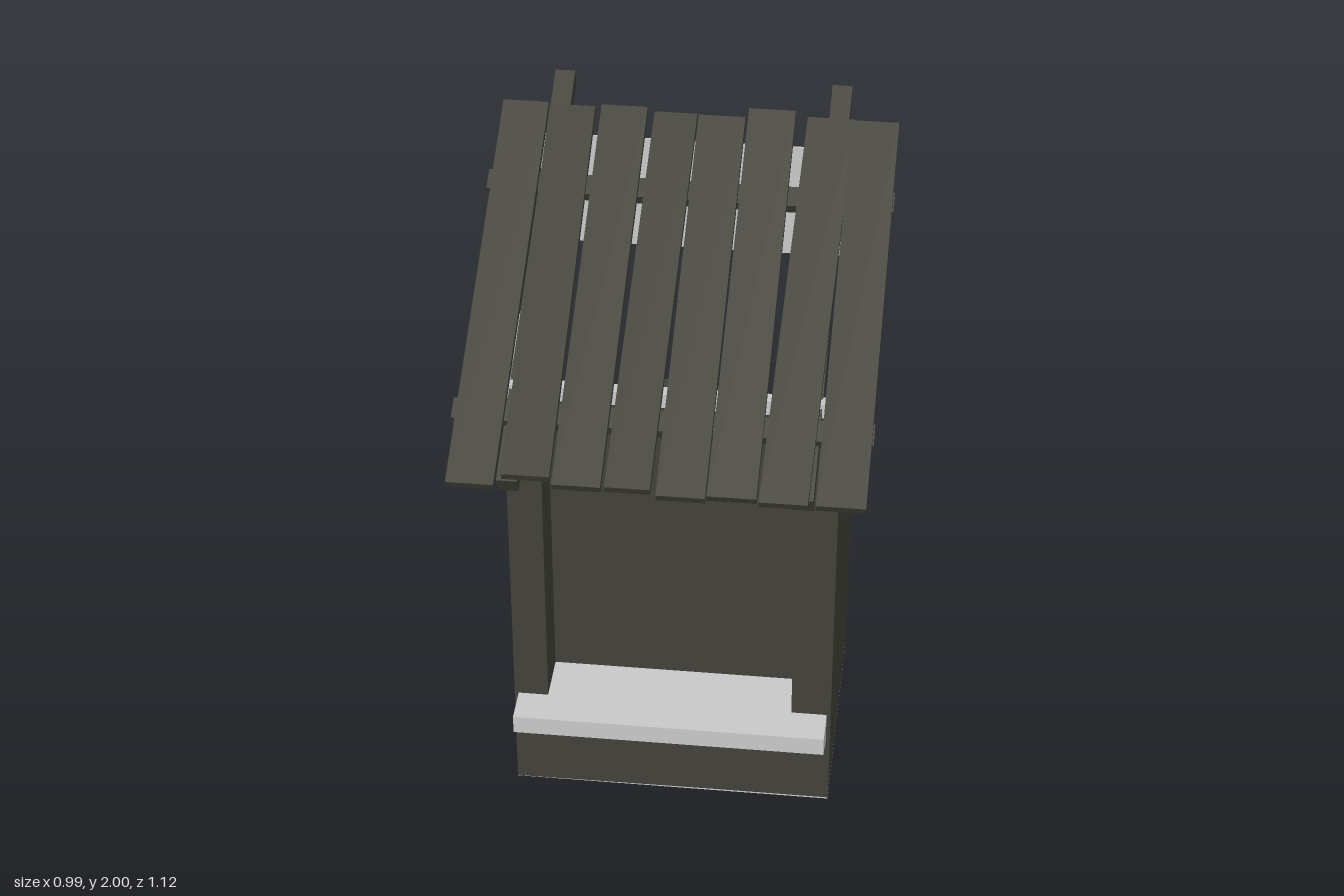
import * as THREE from 'three';

const wood = new THREE.MeshStandardMaterial({ color: 0x43423a, side: THREE.DoubleSide });
wood.name = 'dark wood';
const pale = new THREE.MeshStandardMaterial({ color: 0xcccccc, side: THREE.DoubleSide });
pale.name = 'pale stone';

const L = -0.39, R = 0.41, FRONT = 0.26, BACK = -0.4, FLOOR = 0.38, TOP = 1.59;
const NICHE_X = 0.003, NICHE_W = 0.308, NICHE_Z = 0.12, SPRING = 1.335;

export function createModel() {
  const model = new THREE.Group();
  model.name = 'hanging booth';

  const add = (name, geometry, material) => {
    const mesh = new THREE.Mesh(geometry, material);
    mesh.name = name;
    model.add(mesh);
    return mesh;
  };
  const box = (name, material, x0, x1, y0, y1, z0, z1) =>
    add(name, new THREE.BoxGeometry(x1 - x0, y1 - y0, z1 - z0), material)
      .position.set((x0 + x1) / 2, (y0 + y1) / 2, (z0 + z1) / 2);

  // Straight timber between two [z, y] points; skew shifts its far end sideways
  const beam = (name, x, a, b, width, thick, skew = 0) => {
    const dz = b[0] - a[0], dy = b[1] - a[1], len = Math.hypot(dz, dy);
    const g = new THREE.BoxGeometry(width, thick, len);
    const p = g.attributes.position;
    for (let i = 0; i < p.count; i++) p.setX(i, p.getX(i) + skew * p.getZ(i) / len);
    const mesh = add(name, g, wood);
    mesh.position.set(x, (a[1] + b[1]) / 2, (a[0] + b[0]) / 2);
    mesh.rotation.x = -Math.atan2(dy, dz);
  };

  // Arched outline of the niche, optionally grown outward
  const archPoints = (grow, bottom, rise = 0.215) => {
    const w = NICHE_W + grow, pts = [new THREE.Vector2(NICHE_X - w, bottom), new THREE.Vector2(NICHE_X + w, bottom)];
    for (let i = 0; i <= 16; i++) {
      const t = Math.PI * i / 16;
      pts.push(new THREE.Vector2(NICHE_X + w * Math.cos(t), SPRING + (rise + grow) * Math.sin(t)));
    }
    return pts;
  };

  // Front wall with arched opening
  const front = new THREE.Shape([[L, FLOOR], [R, FLOOR], [R, TOP], [L, TOP]].map(p => new THREE.Vector2(...p)));
  front.holes.push(new THREE.Path(archPoints(0, 0.57)));
  add('frontWall', new THREE.ShapeGeometry(front), wood).position.z = FRONT;

  // Niche: sides, flat back panel and arch panel
  const rim = new THREE.Shape(archPoints(0.006, 0.565));
  rim.holes.push(new THREE.Path(archPoints(0, 0.57)));
  add('nicheSides', new THREE.ExtrudeGeometry(rim, { depth: FRONT - NICHE_Z - 0.002, bevelEnabled: false }), wood)
    .position.z = NICHE_Z;
  box('nichePanel', wood, NICHE_X - NICHE_W, NICHE_X + NICHE_W, 0.6, SPRING, NICHE_Z, NICHE_Z + 0.008);
  add('nicheArch', new THREE.ShapeGeometry(new THREE.Shape(archPoints(0, SPRING))), wood).position.z = NICHE_Z + 0.004;

  // Sill: inner slab and a front ledge with a sloping underside
  box('innerSill', pale, NICHE_X - NICHE_W, NICHE_X + NICHE_W, 0.572, 0.659, NICHE_Z - 0.006, FRONT);
  const ledge = new THREE.Shape([[FRONT, 0.57], [0.355, 0.61], [0.355, 0.66], [FRONT, 0.66]]
    .map(([z, y]) => new THREE.Vector2(-z, y)));
  const ledgeGeo = new THREE.ExtrudeGeometry(ledge, { depth: 0.78, bevelEnabled: false });
  ledgeGeo.rotateY(Math.PI / 2);
  add('frontLedge', ledgeGeo, pale).position.x = -0.38;

  // Side walls with sloping gables, and the band along each side
  for (const [side, x] of [['right', L], ['left', R]]) {
    const wall = new THREE.Shape([[FRONT, FLOOR], [FRONT, 1.61], [0.22, 1.62], [BACK, 1.905], [BACK, FLOOR]]
      .map(([z, y]) => new THREE.Vector2(-z, y)));
    const g = new THREE.ShapeGeometry(wall);
    g.rotateY(Math.PI / 2);
    add(side + 'Wall', g, wood).position.x = x;
    box(side + 'Band', pale, x - 0.014, x + 0.014, 1.587, 1.625, BACK, 0.287);
  }
  box('frontBand', pale, L, R, 1.587, 1.625, 0.255, 0.287);

  // Floor and upper back panel; the back is open below
  box('floor', pale, L, R, FLOOR, FLOOR + 0.004, BACK, FRONT);
  box('backPanel', pale, L, R, 1.6, 1.905, BACK, BACK + 0.005);

  // Three pairs of supporting struts
  for (const x of [-0.322, 0.003, 0.352]) {
    beam('mainStrut', x, [-0.312, 0.026], [0.222, 0.404], 0.065, 0.06);
    beam('braceStrut', x, [-0.36, 0.422], [0.0, 0.262], 0.065, 0.062);
  }

  // Roof rafters and cross battens
  for (const x of [-0.345, 0.341]) beam('rafter', x, [-0.553, 1.979], [0.5, 1.49], 0.049, 0.046);
  for (const [z, y] of [[-0.228, 1.859], [0.355, 1.59]])
    beam('roofBatten', 0, [z - 0.025, y + 0.0115], [z + 0.025, y - 0.0115], 0.985, 0.028);

  // Uneven roof planks: [centre x, width, skew, back z, back y, front z, front y]
  const planks = [
    [-0.424, 0.112, 0, -0.418, 1.973, 0.552, 1.522],
    [-0.303, 0.112, 0.017, -0.43, 1.961, 0.546, 1.55],
    [-0.18, 0.113, 0.004, -0.422, 1.972, 0.546, 1.53],
    [-0.057, 0.105, -0.003, -0.418, 1.963, 0.556, 1.54],
    [0.061, 0.114, 0.006, -0.41, 1.966, 0.556, 1.526],
    [0.18, 0.114, 0, -0.42, 1.986, 0.54, 1.522],
    [0.311, 0.113, -0.024, -0.418, 1.972, 0.55, 1.522],
    [0.431, 0.115, 0, -0.416, 1.971, 0.552, 1.524],
  ];
  for (const [x, w, skew, z0, y0, z1, y1] of planks)
    beam('roofPlank', x, [z0, y0], [z1, y1], w, 0.021, skew);

  return model;
}
